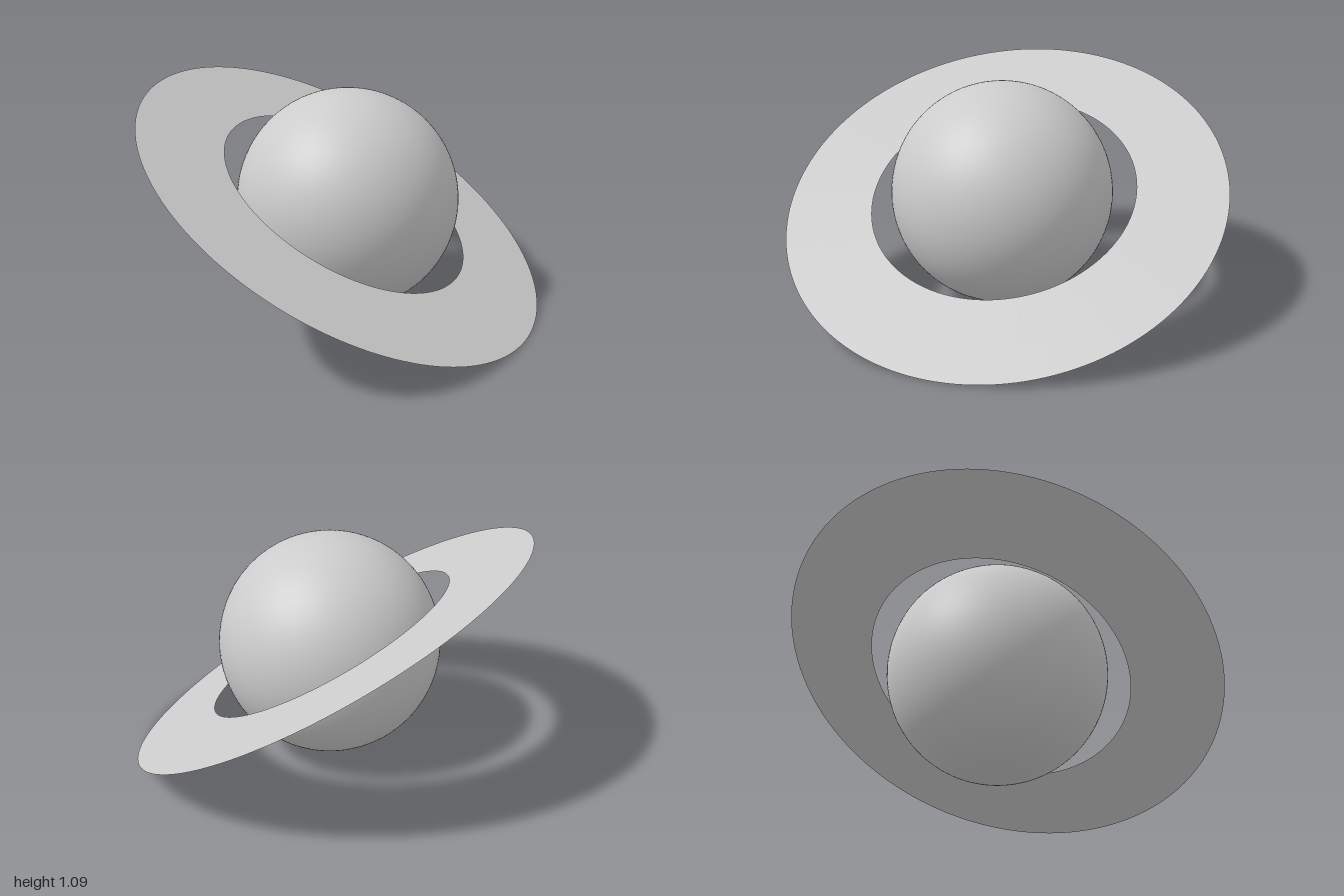
import * as THREE from 'three';

export function createModel() {
  const model = new THREE.Group();
  model.name = 'ringedPlanet';
  const centreY = 0.547;

  // Smooth globe
  const globe = new THREE.Mesh(
    new THREE.SphereGeometry(0.53, 96, 64),
    new THREE.MeshStandardMaterial({ color: 0xcccccc })
  );
  globe.name = 'globe';
  globe.position.y = centreY;

  // Paper-thin flat ring, tilted down towards the front left
  const ring = new THREE.Mesh(
    new THREE.RingGeometry(0.643, 1.068, 160, 1),
    new THREE.MeshStandardMaterial({ color: 0xcccccc, side: THREE.DoubleSide })
  );
  ring.name = 'ring';
  ring.position.y = centreY;
  const ringNormal = new THREE.Vector3(0.37, 0.859, 0.354).normalize();
  ring.quaternion.setFromUnitVectors(new THREE.Vector3(0, 0, 1), ringNormal);

  model.add(globe, ring);
  return model;
}
